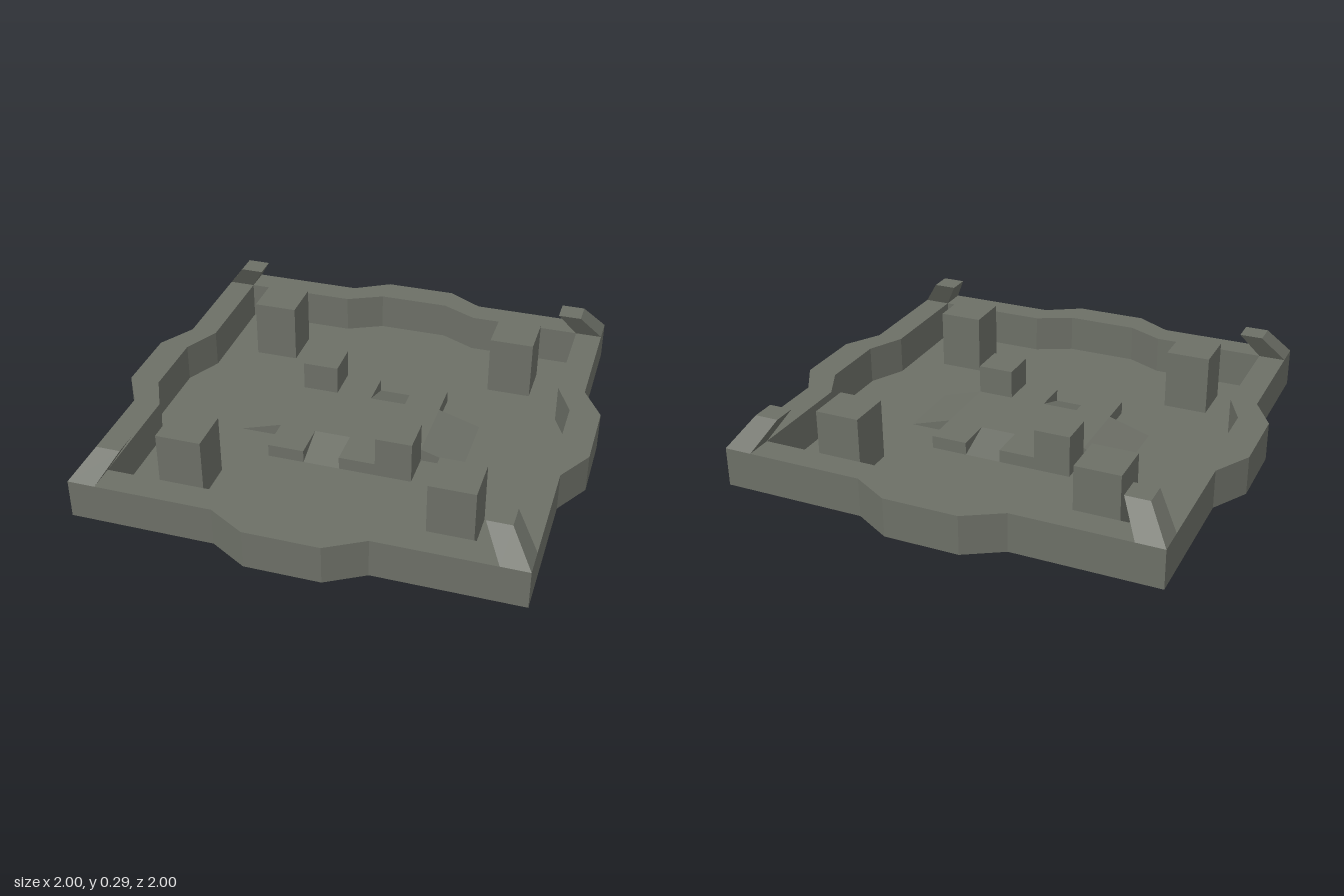
import * as THREE from 'three';

const stone = new THREE.MeshStandardMaterial({ color: 0x6c6f66, side: THREE.DoubleSide });
stone.name = 'grey green stone';

const RIM = 0.165;            // rim height
const H = 0.055;              // centre platform height
const CUBE = 0.18;            // centre cube height
const A = 0.155, B = 0.31, E = 0.49;

// Flat-shaded geometry from four-cornered faces
function faces(quads) {
  const pos = [];
  for (const [a, b, c, d] of quads) pos.push(...a, ...b, ...c, ...a, ...c, ...d);
  const g = new THREE.BufferGeometry();
  g.setAttribute('position', new THREE.Float32BufferAttribute(pos, 3));
  g.computeVertexNormals();
  return g;
}

// Upward face over a rectangle; heights may differ at low/high x or z
function top(x0, x1, z0, z1, y00, y01 = y00, y11 = y00, y10 = y00) {
  return [[x0, y00, z0], [x0, y01, z1], [x1, y11, z1], [x1, y10, z0]];
}

// Upright face from p to q, facing right of the direction of travel
function wall(px, pz, qx, qz, topP, topQ = topP, baseP = 0, baseQ = baseP) {
  return [[px, baseP, pz], [qx, baseQ, qz], [qx, topQ, qz], [px, topP, pz]];
}

// Walls round a closed outline
function ringWalls(pts, height) {
  return pts.map((p, i) => {
    const q = pts[(i + 1) % pts.length];
    return wall(p[0], p[1], q[0], q[1], height);
  });
}

// Square outline with a shallow bay in the middle of every side
function bayOutline(half, bay) {
  const side = [[-half, half], [-B, half], [-A, bay], [A, bay], [B, half]];
  const pts = [];
  for (let k = 0; k < 4; k++) {
    for (let [x, z] of side) {
      for (let r = 0; r < k; r++) [x, z] = [z, -x];
      pts.push([x, z]);
    }
  }
  return pts;
}

function flat(outline, holes, y) {
  const v = (pts) => pts.map(([x, z]) => new THREE.Vector2(x, -z));
  const shape = new THREE.Shape(v(outline));
  for (const h of holes) shape.holes.push(new THREE.Path(v(h)));
  return new THREE.ShapeGeometry(shape).rotateX(-Math.PI / 2).translate(0, y, 0);
}

const square = (cx, cz, r) =>
  [[cx - r, cz + r], [cx + r, cz + r], [cx + r, cz - r], [cx - r, cz - r]];

export function createModel() {
  const model = new THREE.Group();
  model.name = 'walledCourt';
  const add = (name, geometry, parent = model) => {
    const m = new THREE.Mesh(geometry, stone);
    m.name = name;
    parent.add(m);
    return m;
  };

  const outer = bayOutline(0.91, 1.0);
  const inner = bayOutline(0.795, 0.87);
  const corners = [[-1, -1], [1, -1], [1, 1], [-1, 1]];
  const pillarBases = corners.map(([sx, sz]) => square(sx * 0.555, sz * 0.555, 0.095));

  // Hollow rim, open underneath
  add('rimOuterWall', faces(ringWalls(outer, RIM)));
  add('rimInnerWall', faces(ringWalls([...inner].reverse(), RIM)));
  add('rimTop', flat(outer, [inner], RIM));

  // Floor, open below the pillars and the centre platform
  const centre = [[-B, B], [B, B], [B, A], [E, A], [E, -A], [B, -A],
    [B, -B], [-B, -B], [-B, -A], [-E, -A], [-E, A], [-B, A]];
  add('floor', flat(inner, [...pillarBases, centre], 0));

  // Hollow pillars
  for (const base of pillarBases) {
    const [x0, z1] = base[0], [x1, z0] = base[2];
    add('pillar', faces([...ringWalls(base, 0.26), top(x0, x1, z0, z1, 0.26)]));
  }

  // Inward-leaning horns on the rim corners
  for (const [sx, sz] of corners) {
    const g = new THREE.BoxGeometry(2, 2, 2).toNonIndexed();
    const p = g.attributes.position;
    for (let i = 0; i < p.count; i++) {
      const up = p.getY(i) > 0;
      const mid = up ? 0.768 : 0.8525, half = up ? 0.05 : 0.0575;
      p.setXYZ(i, sx * mid + p.getX(i) * half, up ? 0.287 : RIM, sz * mid + p.getZ(i) * half);
    }
    g.computeVertexNormals();
    add('cornerHorn', g);
  }

  // Centre platform: one half, repeated with a half turn
  for (let k = 0; k < 2; k++) {
    const half = new THREE.Group();
    half.name = 'platformHalf';
    half.rotation.y = k * Math.PI;
    model.add(half);

    add('platform', faces([
      top(-B, B, -A, 0, H),
      top(-A, 0, -B, -A, H),
      top(A, B, -B, -A, H),
      wall(0, -B, -A, -B, H),
      wall(B, -B, A, -B, H),
      wall(B, -A, B, -B, H),
    ]), half);

    add('shortRamp', faces([
      top(0, A, -B, -A, 0, H, H, 0),
      wall(0, -A, 0, -B, H, H, H, 0),
      wall(A, -B, A, -A, H, H, 0, H),
    ]), half);

    add('longRamp', faces([
      top(B, E, -A, A, H, H, 0, 0),
      wall(B, A, E, A, H, 0),
      wall(E, -A, B, -A, 0, H),
    ]), half);

    add('cube', faces([
      top(-B, -A, -B, -A, CUBE),
      wall(-A, -B, -B, -B, CUBE),
      wall(-B, -B, -B, -A, CUBE),
      wall(-B, -A, -A, -A, CUBE, CUBE, H),
      wall(-A, -A, -A, -B, CUBE, CUBE, H),
    ]), half);
  }

  return model;
}
